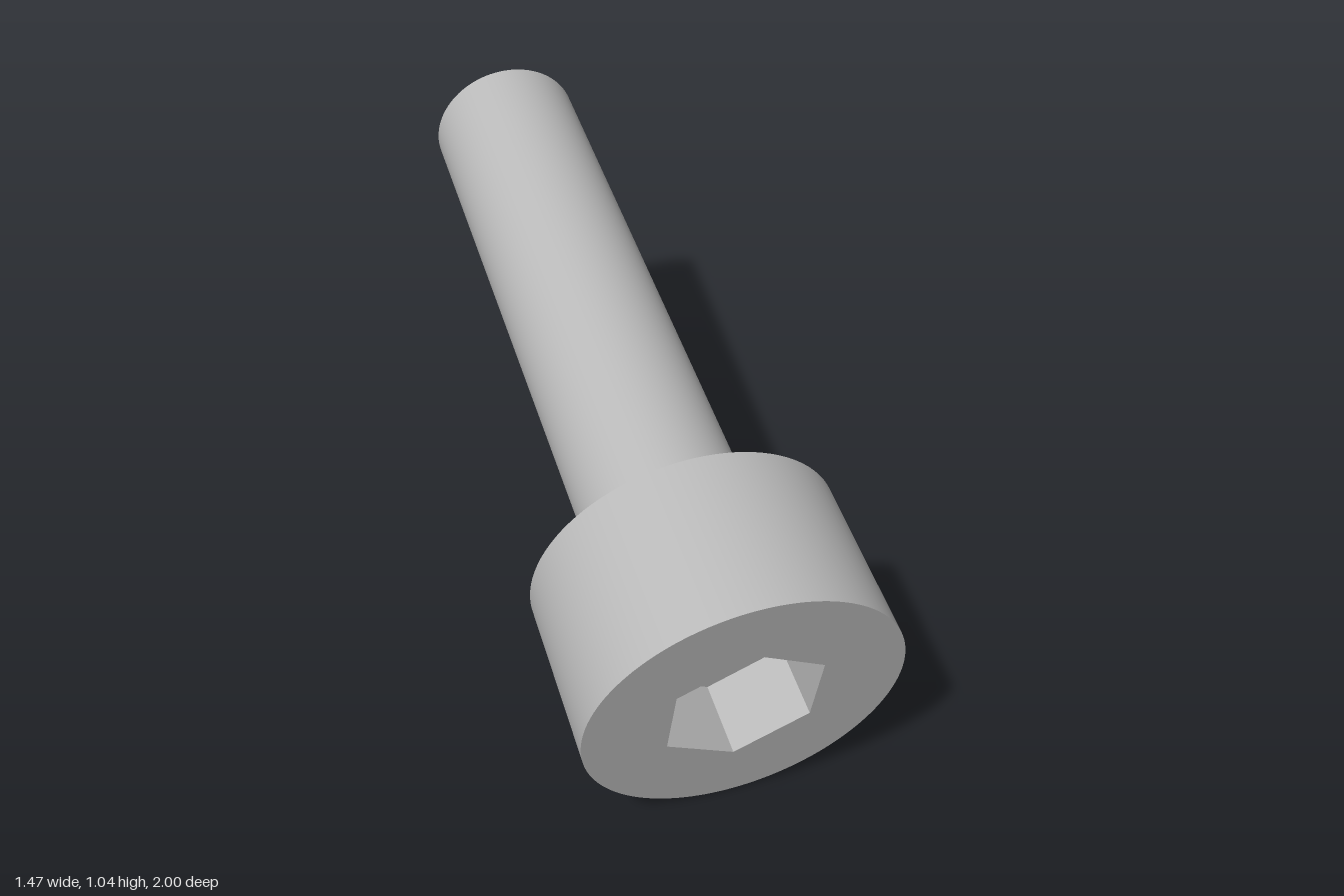
import * as THREE from 'three';

// Proportions in millimetre-like units, scaled by U
const U = 0.1341;
const HEAD_R = 2.75 * U, HEAD_H = 3 * U;
const SHAFT_R = 1.5 * U, SHAFT_L = 12 * U;
const HEX_R = (1.25 / Math.cos(Math.PI / 6)) * U, HEX_DEPTH = 1.3 * U;
const SEGMENTS = 96;

export function createModel() {
  const group = new THREE.Group();
  const steel = new THREE.MeshStandardMaterial({ color: 0xb8b8b8 });
  steel.name = 'steel grey';

  // Local frame: the axis is z, the head's front face lies at z = 0
  const add = (parent, name, geometry, z) => {
    const mesh = new THREE.Mesh(geometry, steel);
    mesh.name = name;
    mesh.position.z = z;
    parent.add(mesh);
  };
  const tube = (radius, length, sides, open) =>
    new THREE.CylinderGeometry(radius, radius, length, sides, 1, open).rotateX(Math.PI / 2);

  const screw = new THREE.Group();
  screw.name = 'screw';
  const head = new THREE.Group();
  head.name = 'head';
  screw.add(head);

  // Head: round side, front face with a hexagonal hole, rear bearing ring
  add(head, 'headSide', tube(HEAD_R, HEAD_H, SEGMENTS, true), -HEAD_H / 2);
  const face = new THREE.Shape().absarc(0, 0, HEAD_R, 0, Math.PI * 2);
  const corners = Array.from({ length: 6 }, (_, i) => {
    const a = Math.PI / 2 - (i * Math.PI) / 3;
    return new THREE.Vector2(HEX_R * Math.cos(a), HEX_R * Math.sin(a));
  });
  face.holes.push(new THREE.Path(corners));
  add(head, 'headFace', new THREE.ShapeGeometry(face, SEGMENTS), 0);
  add(head, 'bearingRing', new THREE.RingGeometry(SHAFT_R, HEAD_R, SEGMENTS).rotateY(Math.PI), -HEAD_H);

  // Hex socket: mirrored tube so that its flat walls face inwards, plus a floor
  const walls = tube(HEX_R, HEX_DEPTH, 6, true).scale(1, 1, -1).toNonIndexed();
  walls.computeVertexNormals();
  add(head, 'socketWalls', walls, -HEX_DEPTH / 2);
  add(head, 'socketFloor', new THREE.CircleGeometry(HEX_R, 6, Math.PI / 2), -HEX_DEPTH);

  // Plain shaft
  add(screw, 'shaft', tube(SHAFT_R, SHAFT_L, SEGMENTS, false), -HEAD_H - SHAFT_L / 2);

  // Tilt the screw so that the shaft rises to the back left
  screw.rotation.set(0.2428, -Math.PI / 6, 0, 'YXZ');
  screw.position.set(-0.4145, 0.358, 0.8);
  group.add(screw);
  return group;
}
